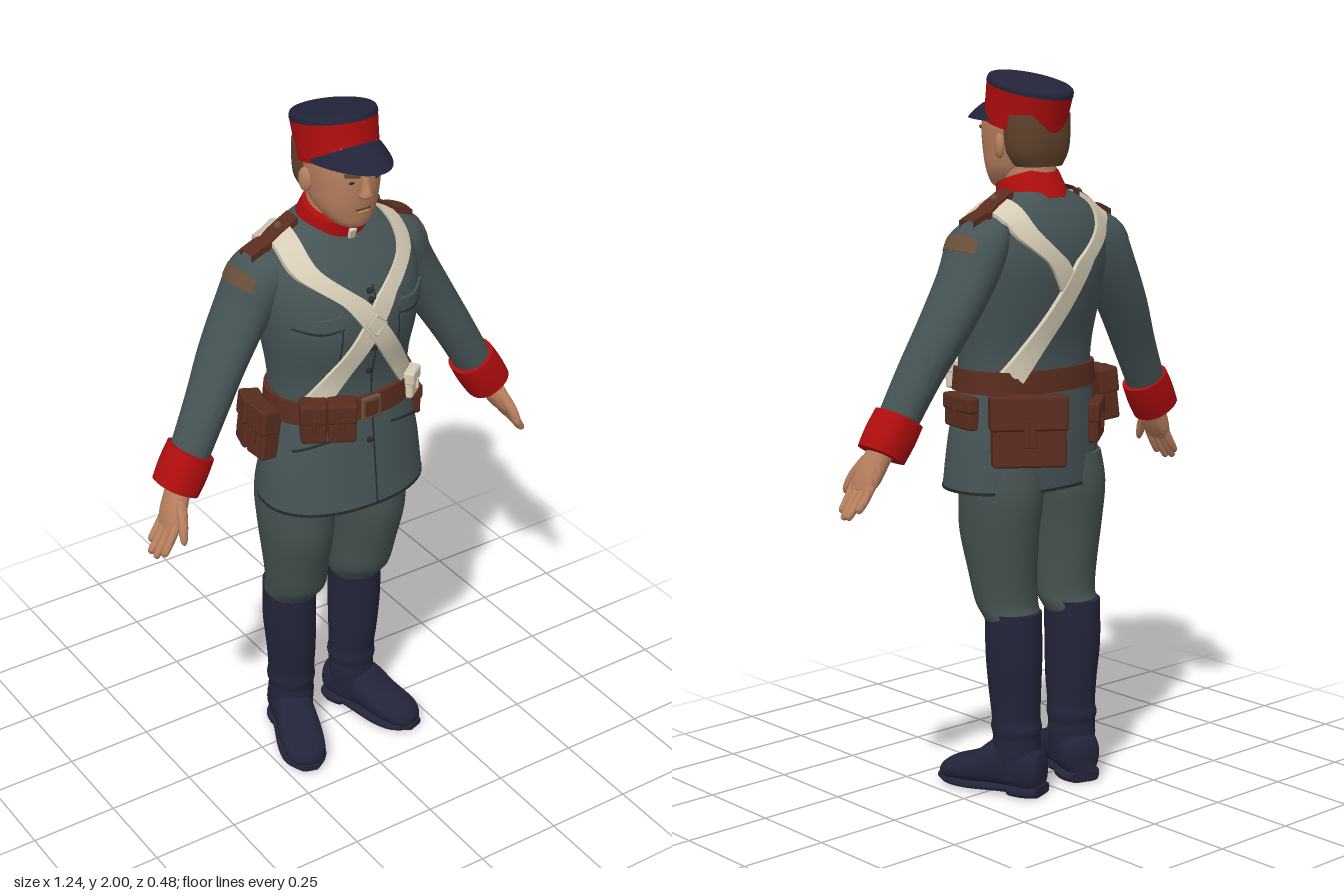
import * as THREE from 'three';
import { toCreasedNormals } from 'three/addons/utils/BufferGeometryUtils.js';
import { RoundedBoxGeometry } from 'three/addons/geometries/RoundedBoxGeometry.js';

const V3 = (x, y, z) => new THREE.Vector3(x, y, z);
const mat = (name, color, side = THREE.FrontSide) => Object.assign(new THREE.MeshStandardMaterial({ color, side }), { name });

export function createModel() {
  const coat = mat('coat cloth', 0x465456), cloth = mat('trouser cloth', 0x445150);
  const red = mat('red facing', 0xb00d0d), navy = mat('navy leather', 0x23243a, THREE.DoubleSide);
  const skin = mat('skin', 0xb9805f), hair = mat('hair', 0x60432c);
  const leather = mat('brown leather', 0x5a2c1f, THREE.DoubleSide), strap = mat('cream webbing', 0xd6ccb6, THREE.DoubleSide);
  const patch = mat('worn brown', 0x6b503a, THREE.DoubleSide), dark = mat('dark trim', 0x252b2c, THREE.DoubleSide);
  const root = new THREE.Group();
  const add = (name, geo, m, parent = root) => {
    const mesh = new THREE.Mesh(geo, m);
    mesh.name = name;
    parent.add(mesh);
    return mesh;
  };
  const group = (name, x, y, z) => {
    const g = new THREE.Group();
    g.name = name;
    g.position.set(x, y, z);
    root.add(g);
    return g;
  };

  // Smooth interpolation between rows of numbers
  const refine = (rows, k) => {
    const out = [], last = rows.length - 1;
    for (let i = 0; i < last; i++) for (let j = 0; j < k; j++) {
      const t = j / k, p = rows[Math.max(i - 1, 0)], a = rows[i], b = rows[i + 1], q = rows[Math.min(i + 2, last)];
      out.push(a.map((v, n) => v + 0.5 * t * (b[n] - p[n] + t * (2 * p[n] - 5 * v + 4 * b[n] - q[n] + t * (3 * (v - b[n]) + q[n] - p[n])))));
    }
    return [...out, rows[last]];
  };

  // Skin through oval sections [x, y, z, radius along U, radius along V], with closed ends
  const loft = (rows, { U = V3(1, 0, 0), V = V3(0, 0, 1), n = 2, seg = 32, k = 4 } = {}) => {
    const rings = refine(rows, k), pos = [], idx = [], e = 2 / n;
    const pw = v => Math.sign(v) * Math.abs(v) ** e;
    for (const [x, y, z, a, b] of rings) for (let i = 0; i < seg; i++) {
      const t = i / seg * Math.PI * 2;
      pos.push(...V3(x, y, z).addScaledVector(U, a * pw(Math.cos(t))).addScaledVector(V, b * pw(Math.sin(t))).toArray());
    }
    const first = rings[0], end = rings[rings.length - 1], c0 = rings.length * seg;
    pos.push(...first.slice(0, 3), ...end.slice(0, 3));
    const axis = V3(end[0] - first[0], end[1] - first[1], end[2] - first[2]);
    const flip = axis.cross(V).dot(U) < 0;
    const tri = (a, b, c) => flip ? idx.push(a, c, b) : idx.push(a, b, c);
    for (let i = 0; i < seg; i++) {
      const j = (i + 1) % seg;
      for (let r = 0; r < rings.length - 1; r++) {
        const o = r * seg, p = o + seg;
        tri(o + i, p + i, o + j);
        tri(o + j, p + i, p + j);
      }
      tri(c0, i, j);
      tri(c0 + 1, c0 - seg + j, c0 - seg + i);
    }
    const g = new THREE.BufferGeometry();
    g.setAttribute('position', new THREE.Float32BufferAttribute(pos, 3));
    g.setIndex(idx);
    return toCreasedNormals(g, 0.9);
  };

  // Jacket body
  const torso = add('jacketBody', loft([
    [0, 0.87, 0.035, 0.245, 0.165], [0, 1.0, 0.028, 0.234, 0.158], [0, 1.1, 0.025, 0.215, 0.15], [0, 1.18, 0.022, 0.202, 0.143],
    [0, 1.27, 0.02, 0.207, 0.146], [0, 1.38, 0.02, 0.225, 0.17], [0, 1.48, 0.01, 0.235, 0.175], [0, 1.56, -0.005, 0.23, 0.155],
    [0, 1.62, -0.017, 0.2, 0.123], [0, 1.66, -0.022, 0.14, 0.095], [0, 1.69, -0.022, 0.08, 0.075]], { n: 2.2, seg: 48 }), coat);
  const targets = [torso];

  for (const s of [1, -1]) {
    const side = s > 0 ? 'left' : 'right', U = V3(0.86 * s, 0.5, 0);
    const limb = (rows, o = {}) => loft(rows.map(([x, ...r]) => [x * s, ...r]), { U, ...o });
    // Sleeve, cuff and hand
    targets.push(add(side + 'Sleeve', limb([[0.17, 1.6, -0.03, 0.045, 0.075], [0.215, 1.548, -0.03, 0.074, 0.095], [0.265, 1.455, -0.035, 0.07, 0.09],
      [0.335, 1.335, -0.025, 0.064, 0.08], [0.4, 1.22, -0.005, 0.058, 0.068], [0.465, 1.1, 0.01, 0.054, 0.058]]), coat));
    add(side + 'Cuff', limb([[0.46, 1.108, 0.01, 0.065, 0.065], [0.488, 1.061, 0.014, 0.068, 0.066], [0.516, 1.014, 0.018, 0.065, 0.063]], { n: 2.3 }), red);
    add(side + 'Palm', limb([[0.5, 1.04, 0.02, 0.03, 0.035], [0.525, 0.99, 0.035, 0.029, 0.043], [0.545, 0.95, 0.043, 0.024, 0.047], [0.563, 0.918, 0.048, 0.014, 0.04]], { n: 2.4 }), skin);
    [[0.012, 0.598, 0.868], [0.036, 0.613, 0.848], [0.06, 0.61, 0.845], [0.083, 0.598, 0.858]].forEach(([z, x, y], i) =>
      add(side + 'Finger' + (i + 1), limb([[0.55, 0.94, z, 0.012, 0.012], [(0.555 + x) / 2, (0.93 + y) / 2, z + 0.002, 0.012, 0.012],
        [x - 0.004, y + 0.008, z + 0.004, 0.01, 0.01], [x, y, z + 0.004, 0.004, 0.004]], { seg: 12 }), skin));
    add(side + 'Thumb', limb([[0.525, 1.0, 0.06, 0.018, 0.02], [0.542, 0.955, 0.098, 0.015, 0.017], [0.553, 0.915, 0.118, 0.012, 0.012], [0.556, 0.9, 0.123, 0.005, 0.005]], { seg: 12 }), skin);

    // Trouser leg and boot
    const leg = group(side + 'Leg', -0.01, 0, 0), up = { U: V3(1, 0, 0) };
    add(side + 'Trouser', limb([[0.11, 0.95, 0.02, 0.11, 0.14], [0.117, 0.86, 0.0, 0.108, 0.132], [0.12, 0.75, 0.005, 0.1, 0.125], [0.115, 0.63, -0.003, 0.09, 0.104],
      [0.11, 0.55, -0.012, 0.085, 0.092], [0.11, 0.515, -0.032, 0.08, 0.085], [0.11, 0.49, -0.042, 0.07, 0.078]], up), cloth, leg);
    add(side + 'BootShaft', limb([[0.112, 0.525, -0.043, 0.074, 0.086], [0.112, 0.4, -0.046, 0.073, 0.086], [0.108, 0.3, -0.045, 0.069, 0.079], [0.106, 0.22, -0.048, 0.066, 0.071],
      [0.106, 0.19, -0.05, 0.069, 0.075], [0.106, 0.165, -0.05, 0.064, 0.07], [0.106, 0.13, -0.05, 0.065, 0.072], [0.108, 0.05, -0.05, 0.058, 0.072]], up), navy, leg);
    const foot = new THREE.Group();
    foot.name = side + 'Foot';
    foot.position.set(0.11 * s, 0, -0.05);
    foot.rotation.y = 0.32 * s;
    leg.add(foot);
    const along = { V: V3(0, 1, 0), n: 2.3 };
    add(side + 'BootUpper', loft([[0, 0.07, -0.082, 0.04, 0.05], [0, 0.078, -0.05, 0.058, 0.068], [0, 0.082, 0.05, 0.058, 0.07], [0, 0.058, 0.12, 0.064, 0.046],
      [0, 0.044, 0.19, 0.058, 0.034], [0, 0.035, 0.225, 0.038, 0.022], [0, 0.03, 0.235, 0.015, 0.01]], along), navy, foot);
    add(side + 'Sole', loft([[0, 0.015, -0.085, 0.042, 0.015], [0, 0.015, -0.05, 0.06, 0.015], [0, 0.015, -0.005, 0.058, 0.015], [0, 0.018, 0.01, 0.055, 0.01],
      [0, 0.014, 0.12, 0.067, 0.011], [0, 0.014, 0.19, 0.06, 0.011], [0, 0.016, 0.24, 0.025, 0.009]], { ...along, n: 4 }), navy, foot);
  }

  // Drop a point on to the jacket, towards an aim point
  const ray = new THREE.Raycaster();
  const inward = p => V3(p.x * 0.97, Math.min(p.y, 1.5), -0.01), downward = p => V3(p.x, 1.3, p.z);
  const shoulder = p => V3(Math.sign(p.x) * 0.2, 1.5, p.z);
  const project = (p, aim, lift) => {
    const dir = aim(p).sub(p).normalize();
    ray.set(p, dir);
    const hit = ray.intersectObjects(targets, false)[0];
    return (hit ? hit.point.clone() : p.clone().addScaledVector(dir, 0.2)).addScaledVector(dir, -lift);
  };
  // Band of webbing, leather or seam laid over the jacket
  const ribbon = (name, pts, width, lift, m, aim = inward, steps = 12) => {
    const curve = new THREE.CatmullRomCurve3(pts.map(p => V3(...p))), pos = [], idx = [];
    for (let i = 0; i <= steps; i++) {
      const p = curve.getPoint(i / steps), out = p.clone().sub(aim(p)).normalize();
      const w = curve.getTangent(i / steps).cross(out).normalize().multiplyScalar(width / 2);
      const a = p.clone().sub(w), b = p.clone().add(w);
      for (const [q, l] of [[a, -0.004], [a, lift], [p, lift], [b, lift], [b, -0.004]]) pos.push(...project(q, aim, l).toArray());
      if (i) for (let j = 0; j < 4; j++) {
        const o = (i - 1) * 5 + j;
        idx.push(o, o + 1, o + 5, o + 1, o + 6, o + 5);
      }
    }
    const g = new THREE.BufferGeometry();
    g.setAttribute('position', new THREE.Float32BufferAttribute(pos, 3));
    g.setIndex(idx);
    return add(name, toCreasedNormals(g, 0.7), m);
  };

  // Crossed straps, joining at the back
  ribbon('rightShoulderStrap', [[0.155, 1.2, 0.35], [0, 1.43, 0.36], [-0.15, 1.66, 0.25], [-0.165, 1.8, -0.02], [-0.14, 1.66, -0.28], [0, 1.42, -0.36], [0.15, 1.19, -0.33]], 0.056, 0.014, strap, inward, 56);
  ribbon('leftShoulderStrap', [[-0.15, 1.2, 0.35], [0, 1.43, 0.36], [0.15, 1.66, 0.25], [0.165, 1.8, -0.02], [0.13, 1.66, -0.28], [0, 1.42, -0.36]], 0.056, 0.01, strap, inward, 48);
  const buckle = add('strapBuckle', new THREE.TorusGeometry(0.03, 0.004, 6, 4), strap);
  buckle.position.copy(project(V3(0, 1.435, 0.5), inward, 0.017));

  // Front seam, buttons, pockets and shoulder pieces
  ribbon('frontSeam', [[0.014, 0.875, 0.4], [0.014, 1.2, 0.4], [0.014, 1.58, 0.4]], 0.004, 0.002, dark, inward, 30);
  for (const y of [1.56, 1.5, 1.36, 1.28, 1.07])
    add('coatButton', new THREE.SphereGeometry(0.009, 10, 8), dark).position.copy(project(V3(0, y, 0.5), inward, 0.001));
  for (const s of [1, -1]) {
    ribbon('chestPocketFlap', [[s * 0.09, 1.458, 0.4], [s * 0.15, 1.45, 0.4], [s * 0.21, 1.462, 0.4]], 0.034, 0.009, coat);
    ribbon('chestPocketEdge', [[s * 0.088, 1.44, 0.4], [s * 0.15, 1.428, 0.4], [s * 0.21, 1.442, 0.4]], 0.005, 0.008, dark);
    ribbon('chestPocketSeam', [[s * 0.09, 1.43, 0.4], [s * 0.095, 1.34, 0.4]], 0.003, 0.002, dark);
    ribbon('hipPocketEdge', [[s * 0.075, 1.1, 0.4], [s * 0.14, 1.085, 0.4], [s * 0.205, 1.06, 0.4]], 0.005, 0.004, dark);
    ribbon('shoulderBoard', [[s * 0.11, 2, -0.028], [s * 0.18, 2, -0.028], [s * 0.255, 2, -0.028]], 0.056, 0.018, leather, downward);
    ribbon('sleevePatch', [[s * 0.45, 1.67, -0.095], [s * 0.45, 1.67, -0.03], [s * 0.45, 1.67, 0.04]], 0.12, 0.003, patch, shoulder);
    add('shoulderButton', new THREE.SphereGeometry(0.011, 10, 8), patch).position.copy(project(V3(s * 0.155, 2, -0.028), downward, 0.019));
  }
  add('hemEdge', loft([[0, 0.868, 0.035, 0.246, 0.166], [0, 0.876, 0.035, 0.246, 0.166]], { n: 2.2, seg: 48, k: 1 }), dark);

  // Belt and its gear: x, y, z, turn, width, height, depth
  add('belt', loft([[0, 1.143, 0.023, 0.22, 0.158], [0, 1.205, 0.023, 0.214, 0.154]], { n: 2.2, seg: 48, k: 1 }), leather);
  add('beltBuckle', new RoundedBoxGeometry(0.06, 0.066, 0.012, 2, 0.004), patch).position.set(0, 1.174, 0.182);
  add('bucklePlate', new RoundedBoxGeometry(0.044, 0.048, 0.012, 2, 0.004), leather).position.set(0, 1.174, 0.185);
  const pouch = (name, x, y, z, turn, w, h, d, m = leather, lean = 0) => {
    const g = group(name, x, y, z);
    g.rotation.set(lean, turn, 0, 'YXZ');
    add(name + 'Body', new RoundedBoxGeometry(w, h, d, 2, 0.008), m, g);
    add(name + 'Flap', new RoundedBoxGeometry(w * 1.06, h * 0.5, d * 1.1, 2, 0.008), m, g).position.set(0, h * 0.27, d * 0.06);
    add(name + 'Tab', new RoundedBoxGeometry(w * 0.16, h * 0.4, 0.008, 1, 0.002), m, g).position.set(0, -h * 0.02, d * 0.6);
  };
  pouch('frontPouchInner', -0.095, 1.168, 0.185, -0.5, 0.075, 0.115, 0.06);
  pouch('frontPouchOuter', -0.162, 1.168, 0.148, -0.5, 0.07, 0.115, 0.06);
  pouch('sidePouchFront', -0.24, 1.1, 0.025, -1.5, 0.075, 0.145, 0.055, leather, -0.12);
  pouch('sidePouchBack', -0.236, 1.1, -0.05, -1.85, 0.075, 0.145, 0.055, leather, -0.12);
  pouch('backPouch', -0.145, 1.045, -0.115, -2.45, 0.15, 0.11, 0.03);
  pouch('hipBag', 0.145, 1.052, -0.153, 2.5, 0.2, 0.19, 0.075, leather, -0.1);
  pouch('leftHolster', 0.215, 1.09, 0.04, 1.4, 0.13, 0.09, 0.035);
  pouch('strapCase', 0.158, 1.18, 0.13, 0.65, 0.062, 0.08, 0.045, strap);

  // Collar and neck
  add('neck', loft([[0, 1.6, -0.01, 0.075, 0.075], [0, 1.76, 0.0, 0.07, 0.075]]), skin);
  const collar = group('collar', 0, 1.678, -0.003);
  collar.rotation.x = 0.35;
  add('collarBand', loft([[0, -0.045, 0, 0.103, 0.102], [0, 0, 0, 0.097, 0.094], [0, 0.04, 0, 0.089, 0.086]]), red, collar);
  add('collarLining', new RoundedBoxGeometry(0.022, 0.06, 0.012, 2, 0.004), strap, collar).position.set(0, -0.005, 0.094);

  // Head and face
  add('head', loft([[0, 1.683, 0.088, 0.025, 0.03], [0, 1.697, 0.07, 0.052, 0.062], [0, 1.74, 0.046, 0.08, 0.095], [0, 1.8, 0.035, 0.091, 0.115],
    [0, 1.86, 0.03, 0.097, 0.12], [0, 1.92, 0.025, 0.092, 0.108]], { n: 2.2 }), skin);
  add('hair', loft([[0, 1.75, -0.03, 0.07, 0.055], [0, 1.785, -0.03, 0.09, 0.064], [0, 1.83, -0.027, 0.097, 0.072], [0, 1.89, -0.02, 0.1, 0.078]], { n: 2.5 }), hair);
  add('nose', loft([[0, 1.778, 0.146, 0.012, 0.008], [0, 1.787, 0.15, 0.019, 0.021], [0, 1.81, 0.148, 0.012, 0.018], [0, 1.845, 0.145, 0.01, 0.01]], { seg: 16 }), skin);
  add('mouth', new RoundedBoxGeometry(0.045, 0.006, 0.008, 1, 0.002), hair).position.set(0, 1.746, 0.139);
  add('lowerLip', new RoundedBoxGeometry(0.036, 0.01, 0.012, 2, 0.004), skin).position.set(0, 1.737, 0.138);
  for (const s of [1, -1]) {
    const brow = add('brow', new RoundedBoxGeometry(0.042, 0.009, 0.012, 1, 0.003), hair);
    brow.position.set(s * 0.037, 1.847, 0.143);
    brow.rotation.set(0, s * 0.3, s * 0.15);
    const eye = add('eye', new THREE.SphereGeometry(0.011, 12, 8), dark);
    eye.position.set(s * 0.036, 1.828, 0.142);
    eye.scale.set(1, 0.4, 0.4);
    const ear = add('ear', new THREE.SphereGeometry(1, 14, 10), skin);
    ear.position.set(s * 0.097, 1.805, 0.015);
    ear.scale.set(0.012, 0.034, 0.022);
    ear.rotation.y = s * -0.3;
  }

  // Tilted cap with a peak
  const cap = group('cap', 0, 1.92, 0.008);
  cap.rotation.x = -0.22;
  add('capBand', loft([[0, -0.065, 0, 0.104, 0.121], [0, -0.01, 0, 0.106, 0.125], [0, 0.042, 0, 0.109, 0.13]], { seg: 40 }), red, cap);
  add('capCrown', loft([[0, 0.038, 0, 0.109, 0.131], [0, 0.05, 0, 0.108, 0.129], [0, 0.058, 0, 0.098, 0.118], [0, 0.06, 0, 0.05, 0.06]], { seg: 40 }), navy, cap);
  const peak = new THREE.PlaneGeometry(1, 1, 28, 6), pp = peak.attributes.position;
  for (let i = 0; i < pp.count; i++) {
    const a = pp.getX(i) * 2.7, t = pp.getY(i) + 0.5, c = Math.cos(a);
    const z = c * (0.122 + 0.078 * t * Math.max(c, 0) ** 0.5);
    const inner = -0.062 + 0.04 * c, outer = -0.052 - 0.2 * z;
    pp.setXYZ(i, Math.sin(a) * (0.104 + 0.008 * t), inner + (outer - inner) * t ** 1.2, z);
  }
  peak.computeVertexNormals();
  add('capPeak', peak, navy, cap);
  return root;
}
